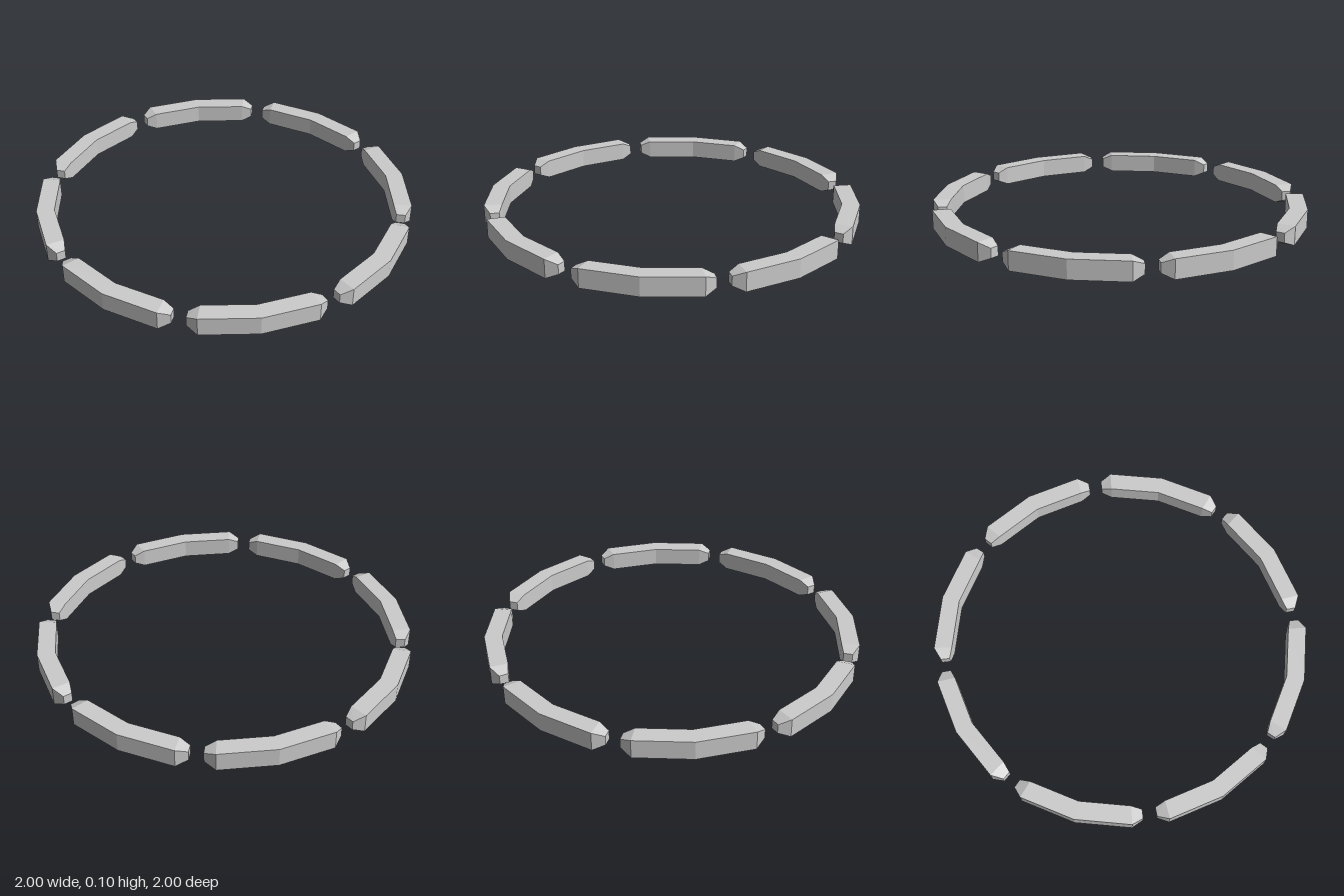
import * as THREE from 'three';

const material = new THREE.MeshStandardMaterial({ color: 0xcccccc, flatShading: true });

// Cross-sections along one arc: [angle in degrees, inner radius, outer radius, low y, high y]
const SECTIONS = [
  [-20.4, 0.923, 0.97, 0.025, 0.075],
  [-17, 0.905, 1, 0, 0.1],
  [0, 0.905, 1, 0, 0.1],
  [17, 0.905, 1, 0, 0.1],
  [20.4, 0.923, 0.97, 0.025, 0.075],
];

// Bent bar with tapered ends, lofted through the rectangular sections
function arcBar() {
  const positions = [];
  const index = [];
  const quad = (a, b, c, d) => index.push(a, b, c, a, c, d);
  for (const [degrees, inner, outer, low, high] of SECTIONS) {
    const angle = THREE.MathUtils.degToRad(degrees);
    for (const [r, y] of [[inner, low], [outer, low], [outer, high], [inner, high]]) {
      positions.push(r * Math.sin(angle), y, r * Math.cos(angle));
    }
  }
  const last = (SECTIONS.length - 1) * 4;
  for (let s = 0; s < last; s += 4) {
    for (let j = 0; j < 4; j++) {
      const k = (j + 1) % 4;
      quad(s + j, s + 4 + j, s + 4 + k, s + k);
    }
  }
  // End caps
  quad(0, 1, 2, 3);
  quad(last + 3, last + 2, last + 1, last);

  const geometry = new THREE.BufferGeometry();
  geometry.setAttribute('position', new THREE.Float32BufferAttribute(positions, 3));
  geometry.setIndex(index);
  const flat = geometry.toNonIndexed();
  flat.computeVertexNormals();
  return flat;
}

export function createModel() {
  const ring = new THREE.Group();
  ring.name = 'segmentedRing';
  const geometry = arcBar();
  // Eight equal segments with small gaps
  for (let i = 0; i < 8; i++) {
    const segment = new THREE.Mesh(geometry, material);
    segment.name = `ringSegment${i + 1}`;
    segment.rotation.y = (i * Math.PI) / 4;
    ring.add(segment);
  }
  return ring;
}
